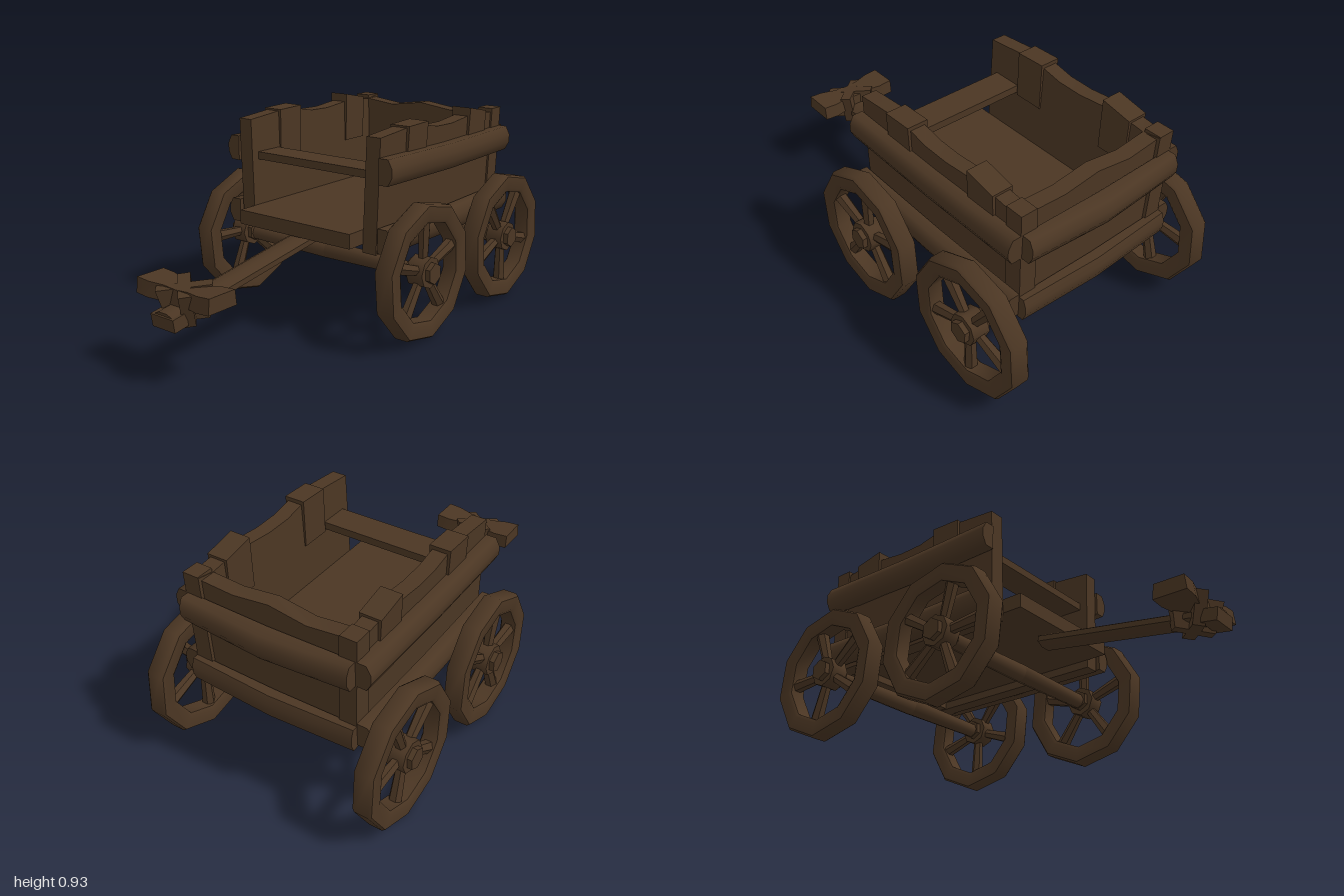
import * as THREE from 'three';
import { toCreasedNormals } from 'three/addons/utils/BufferGeometryUtils.js';

const wood = new THREE.MeshStandardMaterial({ color: 0x4b3623 });
wood.name = 'dark wood';

function add(parent, name, geometry, x = 0, y = 0, z = 0, crease = 0.9) {
  const mesh = new THREE.Mesh(toCreasedNormals(geometry, crease), wood);
  mesh.name = name;
  mesh.position.set(x, y, z);
  parent.add(mesh);
  return mesh;
}

// Move every vertex by a rule
function warp(geometry, rule) {
  const p = geometry.attributes.position;
  const v = new THREE.Vector3();
  for (let i = 0; i < p.count; i++) {
    v.fromBufferAttribute(p, i);
    rule(v);
    p.setXYZ(i, v.x, v.y, v.z);
  }
  return geometry;
}

// Plate in the xy plane with an uneven top edge
function plate(bottom, top, depth) {
  const last = top[top.length - 1];
  const pts = [[top[0][0], bottom], [last[0], bottom], ...top.slice().reverse()];
  const shape = new THREE.Shape(pts.map(([x, y]) => new THREE.Vector2(x, y)));
  return new THREE.ExtrudeGeometry(shape, { depth, bevelEnabled: false });
}

// Rail along x, with softened long edges and a hand-cut wobble
function rail(length, height, depth, bow = 0) {
  const g = new THREE.BoxGeometry(length, height, depth, 4, 3, 1);
  return warp(g, (v) => {
    const mid = 1 - Math.abs(v.x) / (length / 2);
    if (Math.abs(v.y) > height * 0.4 && v.z > 0) v.z -= depth * 0.3;
    if (v.z > 0) v.z += bow * mid;
    v.y -= 0.008 * mid;
  });
}

function makeWheel(turn) {
  const wheel = new THREE.Group();
  wheel.name = 'wheel';
  // Ten-sided rim
  const profile = [[0.225, -0.034], [0.24, -0.042], [0.298, -0.042], [0.307, -0.03], [0.307, 0.03],
    [0.298, 0.042], [0.24, 0.042], [0.225, 0.034], [0.225, -0.034]];
  const rim = new THREE.LatheGeometry(profile.map(([r, y]) => new THREE.Vector2(r, y)), 10);
  rim.rotateX(Math.PI / 2).rotateZ(0.1);
  add(wheel, 'rim', rim);
  // Five spokes
  for (let i = 0; i < 5; i++) {
    const spoke = new THREE.CylinderGeometry(0.03, 0.022, 0.2, 6);
    spoke.translate(0, 0.145, 0).rotateZ(turn + i * Math.PI * 2 / 5);
    add(wheel, 'spoke', spoke);
  }
  // Hub and caps
  add(wheel, 'hub', new THREE.CylinderGeometry(0.07, 0.07, 0.08, 8).rotateX(Math.PI / 2));
  add(wheel, 'hubCap', new THREE.CylinderGeometry(0.048, 0.048, 0.125, 6).rotateX(Math.PI / 2));
  return wheel;
}

export function createModel() {
  const cart = new THREE.Group();
  cart.name = 'handCart';

  // Wheels and axles
  [0.01, 0.69].forEach((x, i) => {
    for (const side of [1, -1]) {
      const wheel = makeWheel(i * -0.6 + (side < 0 ? 0.25 : 0));
      wheel.position.set(x, 0.303, side * 0.509);
      cart.add(wheel);
      const half = new THREE.CylinderGeometry(0.034, 0.042, 0.5, 8).rotateX(side * Math.PI / 2);
      add(cart, 'axle', half, x, 0.297, side * 0.25);
    }
  });

  // Floor and seat board
  add(cart, 'floor', new THREE.BoxGeometry(1.04, 0.065, 0.62), 0.275, 0.455, 0);
  add(cart, 'seat', new THREE.BoxGeometry(0.14, 0.035, 0.64), -0.04, 0.715, 0);

  // Side walls, posts and rails
  const sideTop = [[-0.15, 0.885], [0.03, 0.9], [0.18, 0.895], [0.28, 0.875], [0.4, 0.872],
    [0.53, 0.885], [0.68, 0.885], [0.75, 0.877], [0.83, 0.892]];
  for (const side of [1, -1]) {
    const lean = (v) => { v.z += side * (v.y - 0.38) * 0.03; };
    const wall = plate(0.385, sideTop, 0.07).translate(0, 0, side > 0 ? 0.307 : -0.377);
    add(cart, 'sideWall', warp(wall, lean));
    const corner = new THREE.BoxGeometry(0.08, 0.51, 0.075).translate(0.79, 0.64, side * 0.348);
    add(cart, 'cornerPost', warp(corner, lean));
    for (const [x, tilt] of [[0.11, 0.03], [0.61, -0.2]]) {
      const post = new THREE.BoxGeometry(0.145, 0.22, 0.085).translate(x, 0.8, side * 0.352);
      add(cart, 'sidePost', warp(post, (v) => {
        if (v.y > 0.85) {
          v.y += tilt * (v.x - x);
          v.z += v.z * side > 0.36 ? side * 0.012 : 0;
        }
      }));
    }
    for (const [name, y, h] of [['upperSideRail', 0.748, 0.112], ['lowerSideRail', 0.453, 0.108]]) {
      const g = rail(0.99, h, 0.066);
      if (side < 0) g.rotateY(Math.PI);
      add(cart, name, g, 0.335, y, side * 0.424, 1.2);
    }
  }

  // Rear wall and its rails
  const rearTop = [[-0.33, 0.875], [-0.17, 0.866], [0, 0.887], [0.17, 0.862], [0.33, 0.88]];
  const rear = plate(0.39, rearTop, 0.07).rotateY(Math.PI / 2);
  add(cart, 'rearWall', rear, 0.745, 0, 0);
  const upper = rail(0.78, 0.11, 0.06, 0.02).rotateY(Math.PI / 2);
  add(cart, 'upperRearRail', upper, 0.855, 0.748, 0, 1.2);
  const lower = rail(0.78, 0.105, 0.045, 0.012).rotateY(Math.PI / 2);
  add(cart, 'lowerRearRail', lower, 0.845, 0.44, 0, 1.2);

  // Draw pole
  const pole = new THREE.CylinderGeometry(0.062, 0.062, 0.86, 8);
  pole.rotateY(Math.PI / 8).rotateZ(Math.PI / 2).scale(1, 0.5, 1);
  add(cart, 'drawPole', pole, -0.565, 0.335, 0).rotation.z = 0.154;
  add(cart, 'poleTip', new THREE.BoxGeometry(0.07, 0.055, 0.125), -0.962, 0.262, 0).rotation.z = 0.154;

  // Cross handle: narrow waist, wide ends
  const handle = new THREE.BoxGeometry(0.15, 0.065, 0.4, 1, 1, 6);
  warp(handle, (v) => {
    if (Math.abs(v.z) < 0.1) v.x *= 0.75;
    if (v.y > 0) v.x *= 0.9;
    v.y += 0.015 * Math.abs(v.z) / 0.2;
  });
  add(cart, 'crossHandle', handle, -0.875, 0.338, 0);

  // Crossed lashing round the joint
  for (const turn of [0.75, -0.75]) {
    const band = new THREE.BoxGeometry(0.05, 0.14, 0.22);
    warp(band, (v) => { if (v.y < 0) v.z *= 0.75; });
    const lash = add(cart, 'lashing', band, -0.87, 0.308, 0);
    lash.rotation.set(0, turn, 0.154, 'ZYX');
  }
  return cart;
}
